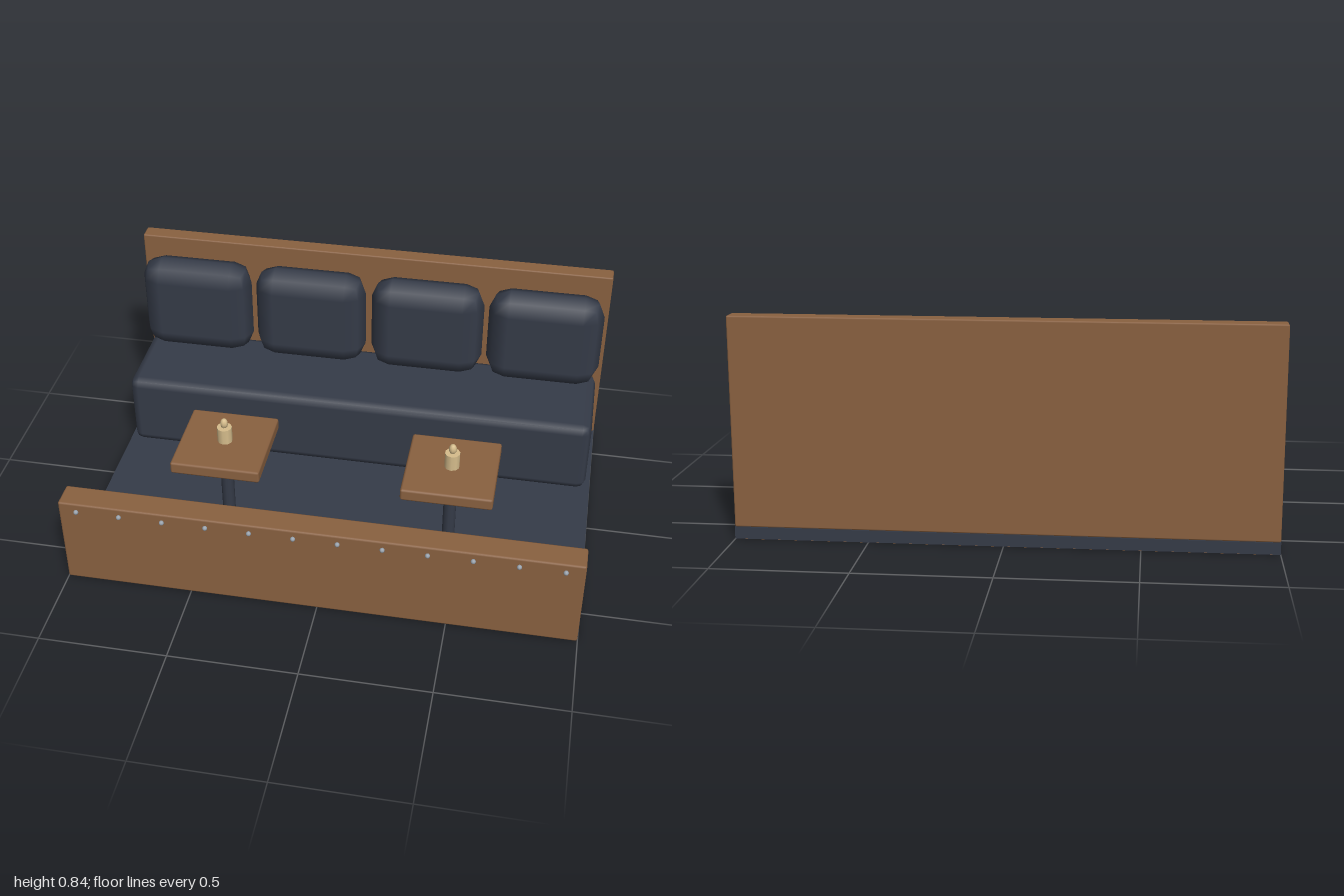
import * as THREE from 'three';
import { RoundedBoxGeometry } from 'three/addons/geometries/RoundedBoxGeometry.js';

const material = (name, color) => {
  const m = new THREE.MeshStandardMaterial({ color });
  m.name = name;
  return m;
};

export function createModel() {
  const group = new THREE.Group();
  const wood = material('brown wood', 0x8a6140);
  const navy = material('dark upholstery', 0x353b48);
  const cream = material('candle cream', 0xd6bd8c);
  const steel = material('stud steel', 0x9aa3ad);

  const add = (name, geometry, mat, x, y, z, parent = group) => {
    const mesh = new THREE.Mesh(geometry, mat);
    mesh.name = name;
    mesh.position.set(x, y, z);
    parent.add(mesh);
    return mesh;
  };

  // Box given by its y and z ranges, with softened edges when radius > 0
  const slab = (name, mat, width, y0, y1, z0, z1, radius, x = 0, parent = group) => {
    const h = y1 - y0, d = z1 - z0;
    const geometry = radius
      ? new RoundedBoxGeometry(width, h, d, 1, radius)
      : new THREE.BoxGeometry(width, h, d);
    return add(name, geometry, mat, x, (y0 + y1) / 2, (z0 + z1) / 2, parent);
  };

  // Platform and panels
  slab('floor', navy, 2, 0.002, 0.047, -0.67, 0.638, 0);
  slab('undersideBatten', wood, 1.99, 0, 0.004, -0.665, -0.625, 0);
  slab('backPanel', wood, 2, 0.047, 0.838, -0.67, -0.6, 0.006);
  slab('frontPanel', wood, 1.998, 0.004, 0.384, 0.551, 0.657, 0.008);

  // Bench seat and four back cushions
  slab('benchSeat', navy, 1.96, 0.048, 0.367, -0.6, -0.179, 0.036);
  for (const x of [-0.745, -0.25, 0.25, 0.745]) {
    slab('backCushion', navy, 0.475, 0.37, 0.785, -0.602, -0.432, 0.085, x);
  }

  // Row of studs along the front panel
  const studGeometry = new THREE.SphereGeometry(0.01, 8, 6);
  for (let i = 0; i < 12; i++) {
    add('stud', studGeometry, steel, -0.927 + i * 0.1685, 0.35, 0.662);
  }

  // Pedestal tables, each with a candle
  const legGeometry = new THREE.CylinderGeometry(0.026, 0.026, 0.33, 10);
  const candleGeometry = new THREE.CylinderGeometry(0.03, 0.03, 0.066, 10);
  const flameGeometry = new THREE.SphereGeometry(0.016, 8, 6).scale(1, 1.4, 1);
  for (const side of [-1, 1]) {
    const table = new THREE.Group();
    table.name = side < 0 ? 'rightTable' : 'leftTable';
    table.position.set(side * 0.453, 0, 0.213);
    group.add(table);
    slab('tableTop', wood, 0.356, 0.369, 0.42, -0.18, 0.18, 0.009, 0, table);
    add('tableLeg', legGeometry, navy, 0, 0.21, 0, table);
    add('candle', candleGeometry, cream, 0, 0.453, 0, table);
    add('flame', flameGeometry, cream, 0, 0.504, 0, table);
  }

  return group;
}
